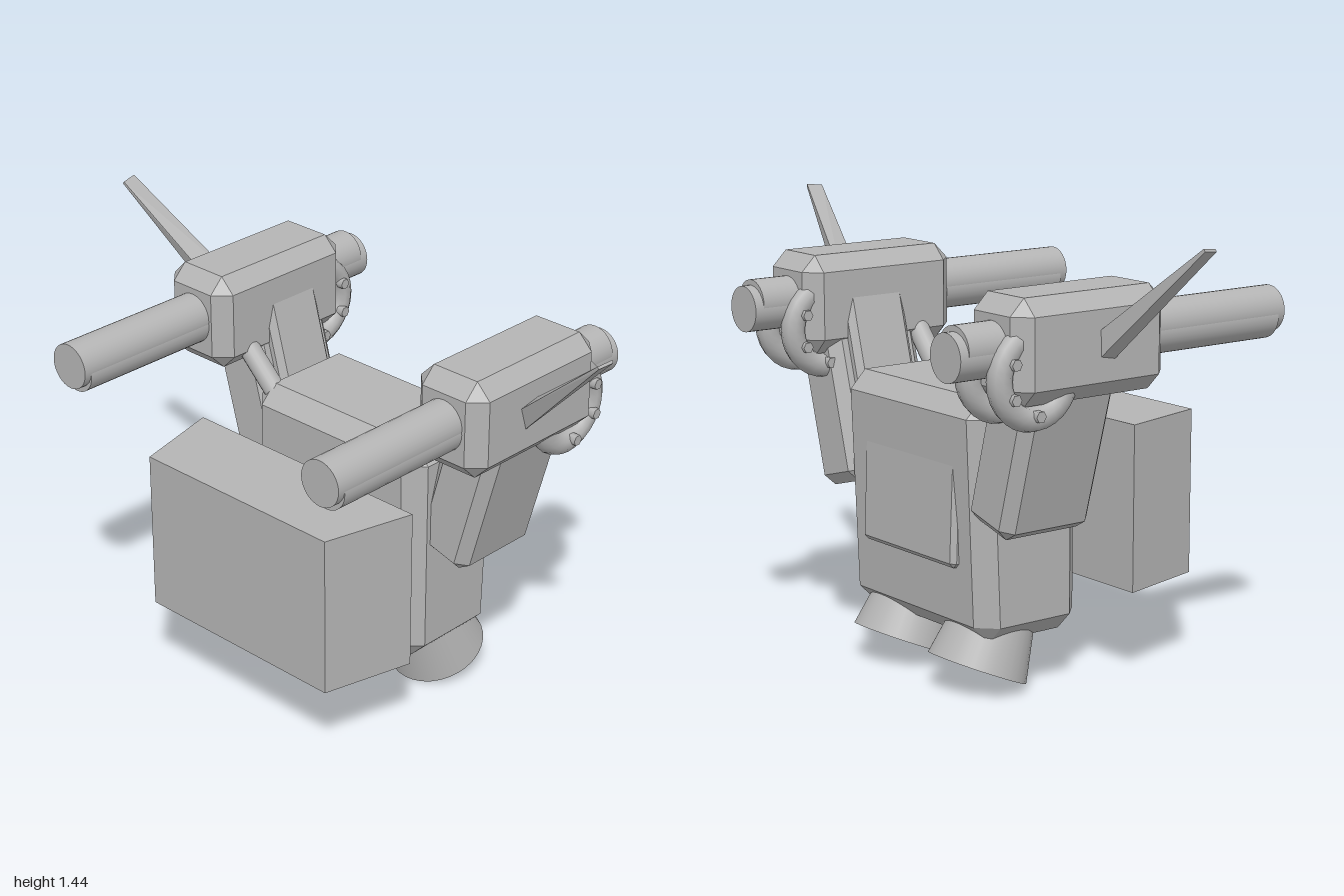
import * as THREE from 'three';
import { ConvexGeometry } from 'three/addons/geometries/ConvexGeometry.js';

const V = (x, y, z) => new THREE.Vector3(x, y, z);

// Box with all edges chamfered by b
function chamferBox(w, h, d, b) {
  const pts = [];
  for (const sx of [-1, 1]) for (const sy of [-1, 1]) for (const sz of [-1, 1]) {
    const x = w / 2, y = h / 2, z = d / 2;
    pts.push(V(sx * x, sy * (y - b), sz * (z - b)));
    pts.push(V(sx * (x - b), sy * y, sz * (z - b)));
    pts.push(V(sx * (x - b), sy * (y - b), sz * z));
  }
  return new ConvexGeometry(pts);
}

export function createModel() {
  const root = new THREE.Group();
  const grey = new THREE.MeshStandardMaterial({ color: 0xb4b4b4 });
  grey.name = 'plain grey';

  const add = (parent, name, geo, x = 0, y = 0, z = 0) => {
    const m = new THREE.Mesh(geo, grey);
    m.name = name;
    m.position.set(x, y, z);
    parent.add(m);
    return m;
  };

  // Torso, its back leaning out slightly towards the top
  const torso = chamferBox(0.72, 0.76, 0.385, 0.058);
  const p = torso.attributes.position;
  for (let i = 0; i < p.count; i++) {
    if (p.getZ(i) < 0) p.setZ(i, p.getZ(i) - 0.03 * (p.getY(i) / 0.76 + 0.4));
  }
  torso.computeVertexNormals();
  add(root, 'torso', torso, 0, 0.555, -0.158);
  add(root, 'backPanel', chamferBox(0.48, 0.34, 0.06, 0.015), 0, 0.575, -0.345).rotation.x = 0.04;

  // Front block, narrower at the front
  const block = [];
  for (const y of [0.29, 0.82]) for (const s of [-1, 1]) {
    block.push(V(s * 0.455, y, 0.15), V(s * 0.38, y, 0.45));
  }
  add(root, 'frontBlock', new ConvexGeometry(block));

  for (const s of [1, -1]) {
    const side = new THREE.Group();
    side.name = s > 0 ? 'leftSide' : 'rightSide';
    root.add(side);

    // Foot: flared cone tipped back
    const foot = add(side, 'foot', new THREE.CylinderGeometry(0.125, 0.16, 0.19, 32), s * 0.2, 0.152, -0.222);
    foot.rotation.x = 0.41;

    // Tilted arm slab with a raised inner plate
    const arm = new THREE.Group();
    arm.name = 'arm';
    arm.position.set(s * 0.472, 0.882, -0.207);
    arm.rotation.z = -s * 0.27;
    side.add(arm);
    add(arm, 'armSlab', chamferBox(0.21, 0.68, 0.335, 0.035));
    add(arm, 'armPlate', chamferBox(0.06, 0.34, 0.22, 0.02), -s * 0.112, 0.12, 0);

    // Strut joining torso and pod
    const strut = new THREE.LineCurve3(V(s * 0.27, 0.86, -0.035), V(s * 0.46, 1.06, -0.025));
    add(side, 'strut', new THREE.TubeGeometry(strut, 1, 0.035, 16));

    // Shoulder pod
    add(side, 'shoulderPod', chamferBox(0.268, 0.315, 0.565, 0.05), s * 0.532, 1.128, -0.173);

    // Two overlapping barrels through the pod
    for (const [y, front, back] of [[1.143, 0.625, -0.59], [1.125, 0.6, -0.62]]) {
      const barrel = new THREE.CylinderGeometry(0.073, 0.073, front - back, 32);
      barrel.rotateX(Math.PI / 2);
      add(side, 'barrel', barrel, s * 0.532, y, (front + back) / 2);
    }

    // Rear rings with hexagonal bolts on their outer faces
    for (const k of [-1, 1]) {
      const ring = new THREE.TorusGeometry(0.122, 0.038, 10, 28);
      ring.rotateY(Math.PI / 2);
      add(side, 'rearRing', ring, s * (0.532 + k * 0.075), 1.052, -0.365);
      for (const a of [-2.65, -2.0, -1.0]) {
        const bolt = new THREE.CylinderGeometry(0.018, 0.018, 0.05, 6);
        bolt.rotateZ(Math.PI / 2);
        const t = a === -1.0 ? 0.5 : a === -2.0 ? -0.48 : -1.5;
        add(side, 'bolt', bolt, s * (0.532 + k * 0.1), 1.052 + 0.108 * Math.sin(t), -0.365 - 0.108 * Math.cos(t));
      }
    }

    // Thin swept fin on the outer face of the pod
    add(side, 'fin', new ConvexGeometry([
      V(s * 0.64, 1.06, -0.115), V(s * 0.64, 1.07, -0.168),
      V(s * 0.64, 1.14, -0.09), V(s * 0.64, 1.155, -0.17),
      V(s * 0.99, 1.425, -0.018), V(s * 1.0, 1.43, -0.07),
      V(s * 0.985, 1.432, -0.018), V(s * 0.995, 1.438, -0.072),
    ]));
  }
  return root;
}
